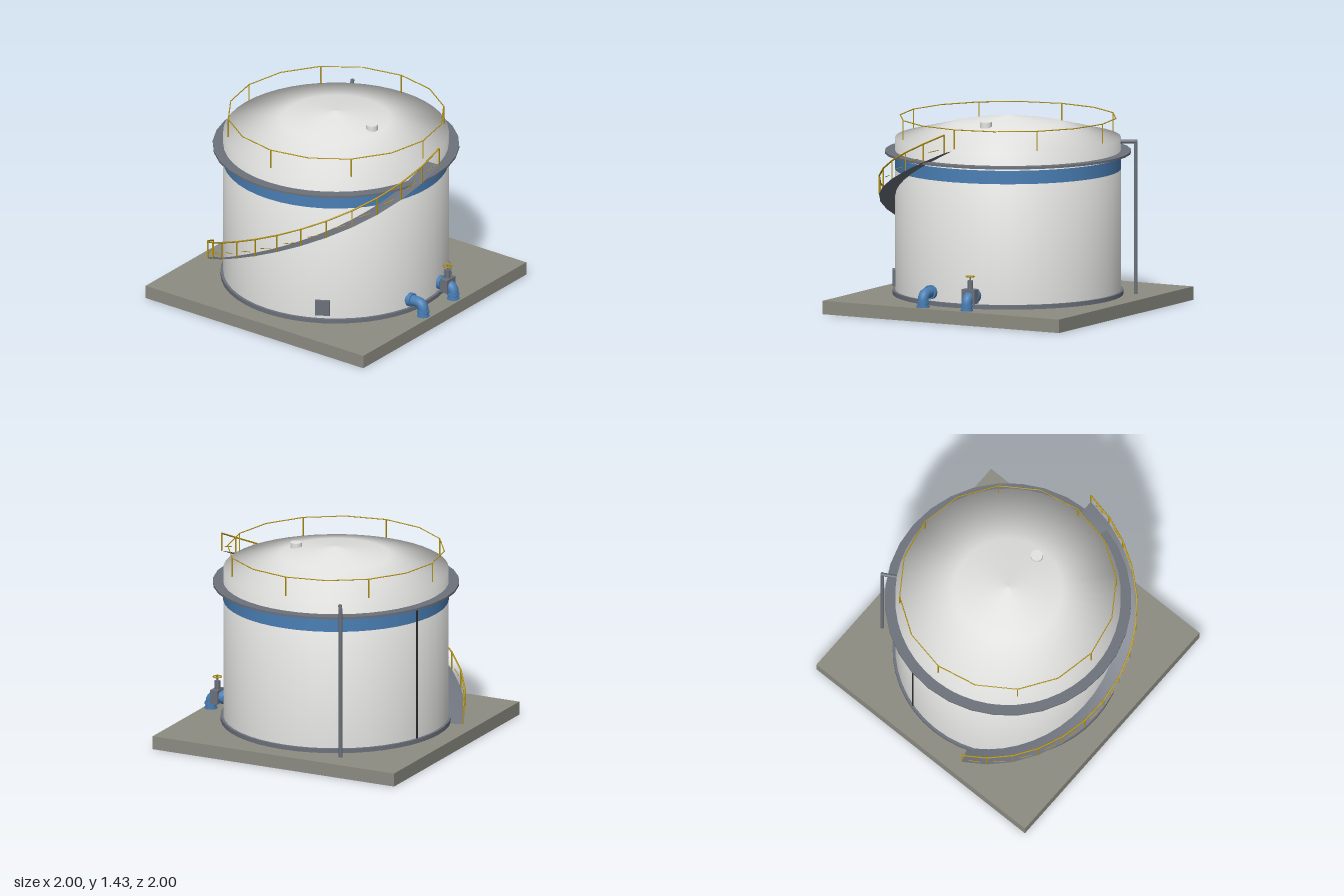
import * as THREE from 'three';
import { toCreasedNormals } from 'three/addons/utils/BufferGeometryUtils.js';

const V = (x, y, z) => new THREE.Vector3(x, y, z);
const material = (name, color, side = THREE.FrontSide) => {
  const m = new THREE.MeshStandardMaterial({ color, side });
  m.name = name;
  return m;
};

export function createModel() {
  const root = new THREE.Group();
  root.name = 'storageTank';
  const concrete = material('concrete', 0x8c8c82, THREE.DoubleSide);
  const white = material('whitePaint', 0xe4e5e2);
  const blue = material('bluePaint', 0x4a7fb5);
  const steel = material('greySteel', 0x6c717b, THREE.DoubleSide);
  const yellow = material('yellowPaint', 0xb8960f);
  const dark = material('darkMetal', 0x2b2d30);

  const group = (name, parent = root) => {
    const g = new THREE.Group();
    g.name = name;
    parent.add(g);
    return g;
  };
  const add = (name, geo, mat, parent = root, pos = [0, 0, 0]) => {
    const m = new THREE.Mesh(geo, mat);
    m.name = name;
    m.position.set(...pos);
    parent.add(m);
    return m;
  };
  const cyl = (r, h, n = 20) => new THREE.CylinderGeometry(r, r, h, n);
  const lathe = (pts, n = 48) =>
    new THREE.LatheGeometry(pts.map(([x, y]) => new THREE.Vector2(x, y)), n);
  // straight round bar between two points
  const rod = (name, a, b, r, mat, parent, n = 6) => {
    const m = add(name, cyl(r, a.distanceTo(b), n), mat, parent);
    m.position.copy(a).add(b).multiplyScalar(0.5);
    m.quaternion.setFromUnitVectors(V(0, 1, 0), b.clone().sub(a).normalize());
    return m;
  };
  // point at an angle measured from the front towards +x
  const polar = (deg, r, y) => {
    const t = THREE.MathUtils.degToRad(deg);
    return V(Math.sin(t) * r, y, Math.cos(t) * r);
  };

  // Foundation slab, hollow underneath
  const slab = new THREE.BoxGeometry(2, 0.1, 2);
  slab.setIndex([...slab.index.array].filter((_, i) => i < 18 || i >= 24));
  slab.clearGroups();
  add('foundationSlab', slab, concrete, root, [0, 0.05, 0]);

  // Shell and shallow roof share one smooth profile
  add('tankShell', lathe([[0.83, 0.1], [0.83, 1.265], [0.4, 1.368], [0, 1.432]]), white);
  add('blueBand', lathe([[0.832, 1.03], [0.832, 1.13]]), blue);
  add('baseFlange', toCreasedNormals(
    lathe([[0.83, 0.101], [0.85, 0.101], [0.85, 0.133], [0.83, 0.133]]), 0.6), steel);
  add('windGirder', toCreasedNormals(
    lathe([[0.83, 1.15], [0.908, 1.15], [0.908, 1.166], [0.83, 1.166]], 32), 0.6), steel);
  add('roofVent', cyl(0.044, 0.05), white, root, [0.33, 1.39, 0]);

  // Roof guard rail: sixteen sides, a post at every second corner
  const guard = group('roofRailing');
  for (let i = 0; i < 16; i++) {
    const a = i * 22.5;
    rod('roofRail', polar(a, 0.8, 1.415), polar(a + 22.5, 0.8, 1.415), 0.004, yellow, guard);
    if (i % 2 === 0) rod('roofPost', polar(a, 0.8, 1.265), polar(a, 0.8, 1.415), 0.005, yellow, guard);
  }

  // Spiral stair: a thin helical ramp with an outer handrail
  const stair = group('spiralStair');
  const steps = 14, start = -71, sweep = 161;
  const angleAt = (i) => start + (sweep * i) / steps;
  const heightAt = (i) => 0.103 + (1.157 * i) / steps;
  const verts = [], faces = [];
  for (let i = 0; i <= steps; i++) {
    for (const r of [0.828, 0.95]) verts.push(...polar(angleAt(i), r, heightAt(i)).toArray());
    const k = i * 2;
    if (i < steps) faces.push(k, k + 1, k + 2, k + 1, k + 3, k + 2);
  }
  const ramp = new THREE.BufferGeometry();
  ramp.setAttribute('position', new THREE.Float32BufferAttribute(verts, 3));
  ramp.setIndex(faces);
  ramp.computeVertexNormals();
  add('stairRamp', ramp, steel, stair);
  const railAt = (i, h) => polar(angleAt(i), 0.948, heightAt(i) + h);
  for (let i = 0; i <= steps; i++) {
    rod('stairPost', railAt(i, 0), railAt(i, 0.135), 0.005, yellow, stair);
    if (i === steps) break;
    rod('stairRail', railAt(i, 0.135), railAt(i + 1, 0.135), 0.006, yellow, stair);
    const a = railAt(i + 0.27, 0.055), b = railAt(i + 0.73, 0.04);
    rod('stairMidRail', a, b, 0.003, yellow, stair);
  }

  // Manhole cover on the front of the shell
  const cover = add('manholeCover', new THREE.BoxGeometry(0.11, 0.12, 0.03), steel);
  cover.position.copy(polar(30, 0.833, 0.222));
  cover.rotation.y = Math.PI / 6;

  // Two blue outlet elbows; the rear one carries a valve
  const elbowPath = new THREE.CurvePath();
  elbowPath.add(new THREE.LineCurve3(V(0.8, 0.2, 0), V(0.885, 0.2, 0)));
  elbowPath.add(new THREE.QuadraticBezierCurve3(V(0.885, 0.2, 0), V(0.94, 0.2, 0), V(0.94, 0.145, 0)));
  elbowPath.add(new THREE.LineCurve3(V(0.94, 0.145, 0), V(0.94, 0.1, 0)));
  const elbow = new THREE.TubeGeometry(elbowPath, 24, 0.04, 16);
  for (const z of [0.185, -0.185]) {
    const pipe = group(z > 0 ? 'frontOutlet' : 'rearOutlet');
    pipe.position.z = z;
    add('outletElbow', elbow, blue, pipe);
    add('wallFlange', cyl(0.052, 0.03), blue, pipe, [0.83, 0.2, 0]).rotation.z = Math.PI / 2;
    add('lowerFlange', cyl(0.047, 0.012), blue, pipe, [0.94, 0.14, 0]);
    add('footFlange', cyl(0.047, 0.012), blue, pipe, [0.94, 0.107, 0]);
    if (z > 0) continue;
    add('valveBody', new THREE.BoxGeometry(0.06, 0.105, 0.108), steel, pipe, [0.89, 0.203, 0]);
    add('valveBonnet', cyl(0.021, 0.07, 12), steel, pipe, [0.887, 0.285, 0]);
    add('valveStem', cyl(0.006, 0.04, 8), steel, pipe, [0.887, 0.333, 0]);
    const wheel = group('valveWheel', pipe);
    wheel.position.set(0.887, 0.35, 0);
    add('wheelRim', new THREE.TorusGeometry(0.032, 0.004, 6, 20), yellow, wheel).rotation.x = Math.PI / 2;
    rod('wheelSpoke', V(-0.032, 0, 0), V(0.032, 0, 0), 0.003, yellow, wheel);
    rod('wheelSpoke', V(0, 0, -0.032), V(0, 0, 0.032), 0.003, yellow, wheel);
  }

  // Rear riser pipe turning into the shell, and a slim gauge line
  const riser = group('rearRiser');
  const riserAngle = -150.5;
  rod('riserPipe', polar(riserAngle, 0.94, 0.1), polar(riserAngle, 0.94, 1.24), 0.014, steel, riser, 12);
  rod('riserInlet', polar(riserAngle, 0.82, 1.23), polar(riserAngle, 0.952, 1.23), 0.014, steel, riser, 12);
  rod('gaugeLine', polar(-107, 0.835, 0.13), polar(-107, 0.835, 1.16), 0.006, dark, root);

  return root;
}
